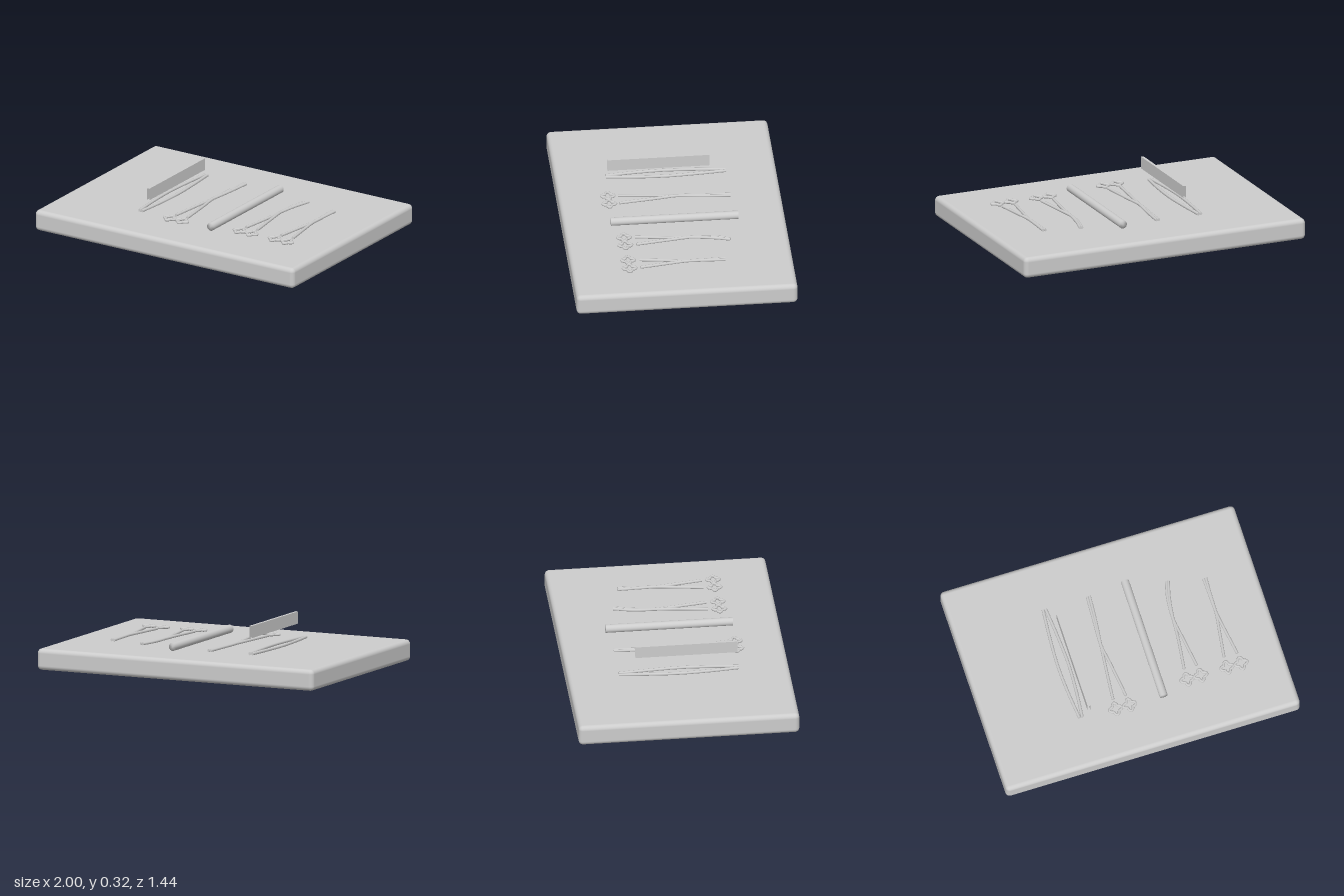
import * as THREE from 'three';
import { mergeVertices } from 'three/addons/utils/BufferGeometryUtils.js';
import { RoundedBoxGeometry } from 'three/addons/geometries/RoundedBoxGeometry.js';

const LEVEL = 0.158; // height of the instruments lying on the tray

export function createModel() {
  const model = new THREE.Group();
  const steel = new THREE.MeshStandardMaterial({ color: 0xcccccc });
  steel.name = 'steel grey';
  steel.side = THREE.DoubleSide;

  function add(name, geometry, parent = model) {
    const mesh = new THREE.Mesh(geometry, steel);
    mesh.name = name;
    parent.add(mesh);
    return mesh;
  }

  // round bar through [x, z] points, capped at both ends
  function bar(name, points, parent, radius = 0.01) {
    const curve = new THREE.CatmullRomCurve3(points.map(([x, z]) => new THREE.Vector3(x, LEVEL, z)));
    const mesh = add(name, new THREE.TubeGeometry(curve, 24, radius, 8), parent);
    for (const end of [0, 1]) {
      const cap = add(name + 'Cap', new THREE.CircleGeometry(radius, 8), mesh);
      const p = curve.getPoint(end);
      const dir = curve.getTangent(end).multiplyScalar(end ? 1 : -1);
      cap.position.copy(p);
      cap.lookAt(p.clone().add(dir));
    }
  }

  // diamond finger loop with softened corners
  function fingerLoop(x, z, parent) {
    const points = [];
    for (let i = 0; i < 16; i++) {
      const a = (i / 16) * Math.PI * 2;
      const r = 0.034 + 0.009 * Math.cos(4 * a);
      points.push(new THREE.Vector3(x + r * Math.cos(a), LEVEL, z + r * Math.sin(a)));
    }
    const curve = new THREE.CatmullRomCurve3(points, true);
    add('fingerLoop', new THREE.TubeGeometry(curve, 48, 0.009, 8, true), parent);
  }

  // crossed scissor arms: spine lists [x, z, half spread], the spread changes sign at the pivot
  function scissors(name, spine, loopZ) {
    const group = new THREE.Group();
    group.name = name;
    for (const side of [-1, 1]) {
      bar('scissorArm', spine.map(([x, z, s]) => [x + side * s, z]), group, 0.0095);
      const [x, , s] = spine[spine.length - 1];
      fingerLoop(x + side * (s + 0.003), loopZ, group);
    }
    model.add(group);
  }

  // tray
  const tray = add('tray', new RoundedBoxGeometry(2, 0.14, 1.44, 4, 0.03));
  tray.position.y = 0.07;

  // tweezers: two bowed arms meeting at both ends
  const tweezers = new THREE.Group();
  tweezers.name = 'tweezers';
  for (const side of [-1, 1]) {
    const spread = [[0.009, -0.39], [0.025, -0.2], [0.035, 0], [0.027, 0.2], [0.009, 0.39]];
    bar('tweezerArm', spread.map(([s, z]) => [-0.39 + side * s, z]), tweezers);
  }
  model.add(tweezers);

  // three pairs of scissors, from tip to handle
  scissors('longScissors', [
    [-0.091, -0.39, -0.008], [-0.102, -0.22, -0.006], [-0.115, -0.05, 0],
    [-0.113, 0.1, 0.018], [-0.11, 0.335, 0.044],
  ], 0.402);
  scissors('curvedScissors', [
    [0.428, -0.335, -0.007], [0.4, -0.22, -0.006], [0.386, -0.08, 0],
    [0.39, 0.06, 0.014], [0.392, 0.275, 0.043],
  ], 0.348);
  scissors('shortScissors', [
    [0.665, -0.28, -0.008], [0.664, -0.18, -0.004], [0.664, -0.02, 0.002],
    [0.664, 0.08, 0.016], [0.665, 0.275, 0.045],
  ], 0.348);

  // round rod, shaded smoothly over its ends
  let rodShape = new THREE.CylinderGeometry(0.027, 0.027, 0.83, 32);
  rodShape.deleteAttribute('normal');
  rodShape.deleteAttribute('uv');
  rodShape = mergeVertices(rodShape);
  rodShape.computeVertexNormals();
  const rod = add('rod', rodShape);
  rod.rotation.x = Math.PI / 2;
  rod.position.set(0.165, 0.168, 0);

  // raised flat sleeve, open at both ends
  const sleeve = new THREE.Group();
  sleeve.name = 'bladeSleeve';
  sleeve.position.set(-0.334, 0.282, 0.055);
  for (const side of [-1, 1]) {
    const wall = add('sleeveWall', new THREE.PlaneGeometry(0.666, 0.08), sleeve);
    wall.rotation.y = side * Math.PI / 2;
    wall.position.x = side * 0.009;
    const edge = add('sleeveEdge', new THREE.PlaneGeometry(0.018, 0.666), sleeve);
    edge.rotation.x = -side * Math.PI / 2;
    edge.position.y = side * 0.04;
  }
  model.add(sleeve);

  return model;
}
